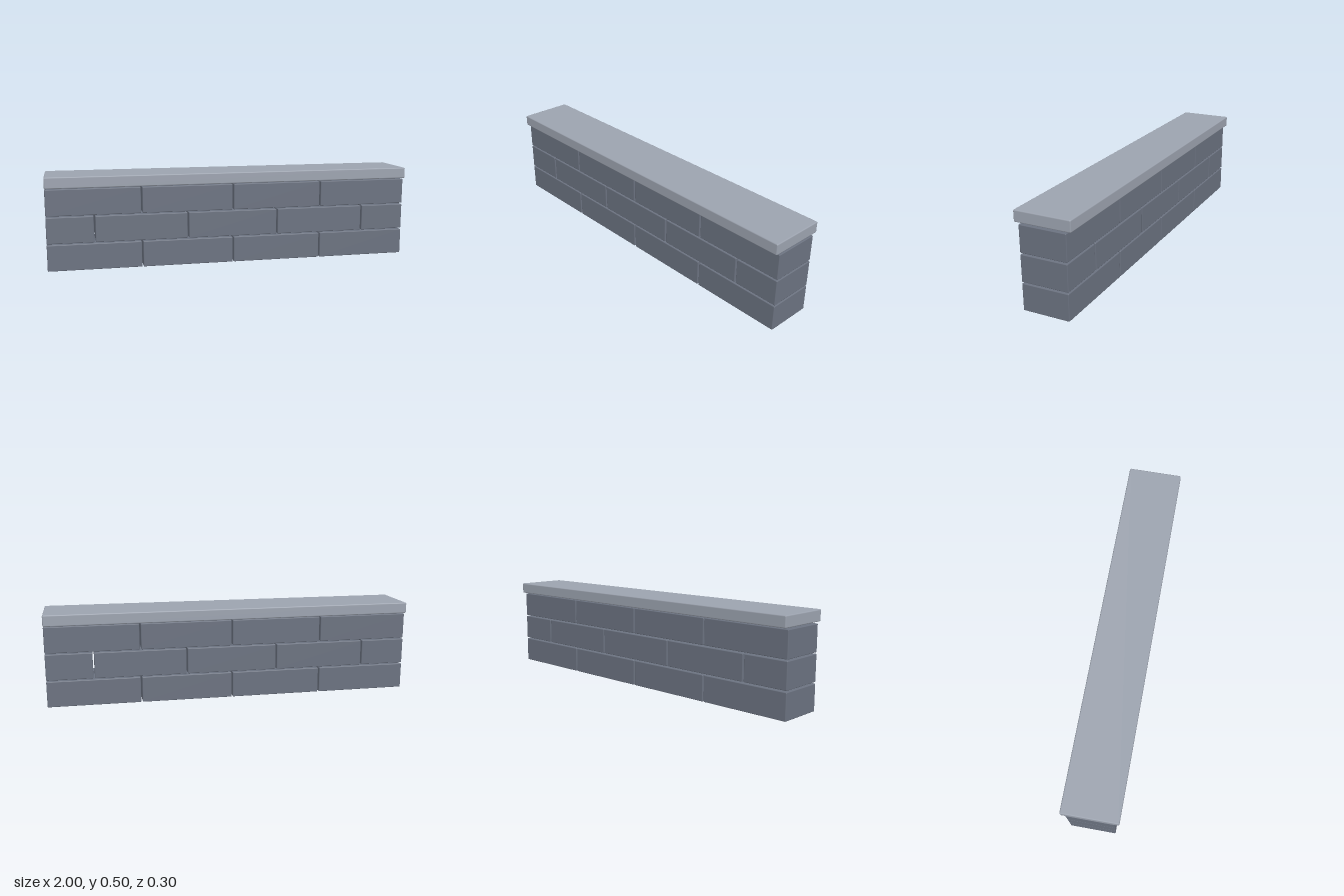
import * as THREE from 'three';
import { RoundedBoxGeometry } from 'three/addons/geometries/RoundedBoxGeometry.js';

export function createModel() {
  const wall = new THREE.Group();
  wall.name = 'blockWall';
  const blockMat = new THREE.MeshStandardMaterial({ color: 0x6b7280 });
  const capMat = new THREE.MeshStandardMaterial({ color: 0x9ca3af });

  const joint = 0.0075, blockH = 0.14, blockD = 0.249, pitch = 0.147;

  // Box with softened edges, given by its x range and its base height
  function slab(name, x0, x1, y0, h, d, bevel, mat, parent) {
    const mesh = new THREE.Mesh(new RoundedBoxGeometry(x1 - x0, h, d, 1, bevel), mat);
    mesh.name = name;
    mesh.position.set((x0 + x1) / 2, y0 + h / 2, 0);
    parent.add(mesh);
  }

  // Three courses in running bond; the middle one starts and ends with half blocks
  const even = [-1, -0.5, 0, 0.5, 1];
  const staggered = [-1, -0.75, -0.25, 0.25, 0.75, 1];
  [even, staggered, even].forEach((joints, row) => {
    const course = new THREE.Group();
    course.name = `course${row + 1}`;
    const last = joints.length - 2;
    for (let i = 0; i <= last; i++) {
      const x0 = joints[i] + (i > 0 ? joint / 2 : 0);
      const x1 = joints[i + 1] - (i < last ? joint / 2 : 0);
      slab(`block${i + 1}`, x0, x1, row * pitch, blockH, blockD, 0.004, blockMat, course);
    }
    wall.add(course);
  });

  // Overhanging coping stone
  slab('copingStone', -1, 1, 3 * pitch, 0.06, 0.298, 0.006, capMat, wall);
  return wall;
}
